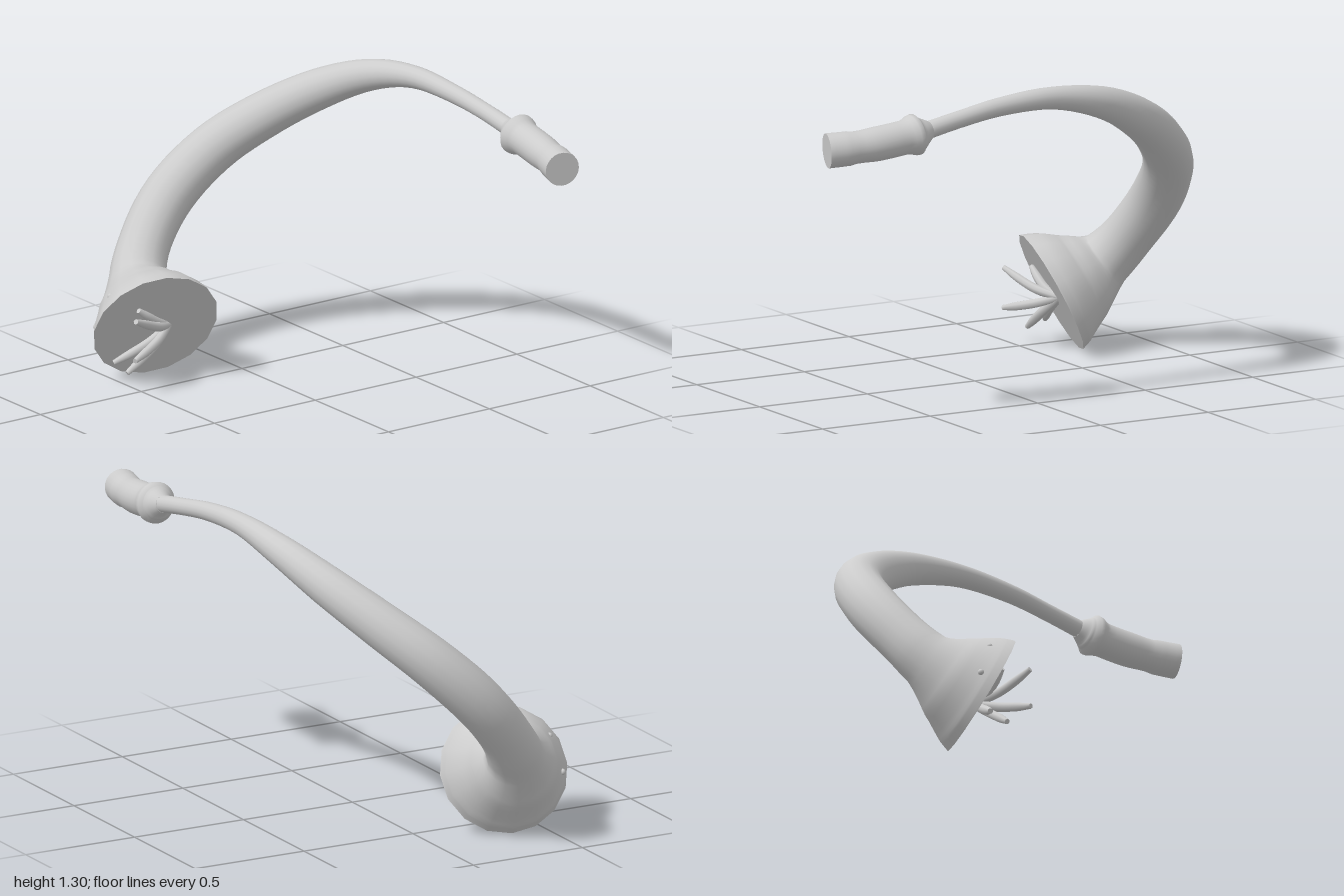
import * as THREE from 'three';

const grey = new THREE.MeshStandardMaterial({ color: 0xcccccc });
grey.name = 'light grey';

// Closed tube of varying radius through stations [x, y, z, radius]
function loft(name, stations, sides, steps, ref = new THREE.Vector3(0, 0.71, 0.71)) {
  const path = new THREE.CatmullRomCurve3(stations.map(s => new THREE.Vector3(s[0], s[1], s[2])));
  const radius = new THREE.CatmullRomCurve3(stations.map(s => new THREE.Vector3(s[3], 0, 0)));
  const rings = (stations.length - 1) * steps;
  const pos = [], index = [];
  for (let i = 0; i <= rings; i++) {
    const k = i / rings, c = path.getPoint(k), t = path.getTangent(k), r = radius.getPoint(k).x;
    const u = ref.clone().addScaledVector(t, -ref.dot(t)).normalize();
    const v = new THREE.Vector3().crossVectors(t, u);
    for (let j = 0; j < sides; j++) {
      const a = j / sides * Math.PI * 2;
      const p = c.clone().addScaledVector(u, r * Math.cos(a)).addScaledVector(v, r * Math.sin(a));
      pos.push(p.x, p.y, p.z);
    }
  }
  for (let i = 0; i < rings; i++) {
    for (let j = 0; j < sides; j++) {
      const n = (j + 1) % sides;
      const a = i * sides + j, b = i * sides + n;
      index.push(a, b, a + sides, b, b + sides, a + sides);
    }
  }
  // Flat end caps with their own vertices, so the rims stay sharp
  for (const end of [0, rings]) {
    const c = path.getPoint(end / rings), base = pos.length / 3;
    pos.push(c.x, c.y, c.z);
    for (let j = 0; j < sides; j++) {
      const o = (end * sides + j) * 3;
      pos.push(pos[o], pos[o + 1], pos[o + 2]);
    }
    for (let j = 0; j < sides; j++) {
      const a = base + 1 + j, b = base + 1 + (j + 1) % sides;
      if (end) index.push(base, a, b);
      else index.push(base, b, a);
    }
  }
  const g = new THREE.BufferGeometry();
  g.setAttribute('position', new THREE.Float32BufferAttribute(pos, 3));
  g.setIndex(index);
  g.computeVertexNormals();
  const mesh = new THREE.Mesh(g, grey);
  mesh.name = name;
  return mesh;
}

export function createModel() {
  const model = new THREE.Group();
  model.name = 'curvedTrunk';

  // Arched body, thickening toward the flared mouth
  model.add(loft('body', [
    [0.56, 1.186, -0.565, 0.036],
    [0.4, 1.215, -0.557, 0.035],
    [0.2, 1.243, -0.542, 0.038],
    [-0.05, 1.25, -0.527, 0.046],
    [-0.3, 1.2, -0.488, 0.065],
    [-0.52, 1.1, -0.4, 0.083],
    [-0.71, 0.965, -0.26, 0.095],
    [-0.84, 0.82, -0.1, 0.103],
    [-0.89, 0.65, 0.075, 0.107],
    [-0.86, 0.49, 0.215, 0.106],
    [-0.79, 0.365, 0.305, 0.118],
    [-0.7, 0.3, 0.34, 0.187],
    [-0.61, 0.253, 0.365, 0.248],
    [-0.575, 0.235, 0.375, 0.263],
  ], 16, 5));

  // Thicker sleeve on the thin end
  model.add(loft('sleeve', [
    [0.985, 1.14, -0.51, 0.071],
    [0.9, 1.145, -0.533, 0.07],
    [0.78, 1.155, -0.553, 0.07],
    [0.66, 1.17, -0.563, 0.07],
    [0.59, 1.18, -0.564, 0.07],
    [0.57, 1.184, -0.565, 0.056],
    [0.54, 1.189, -0.565, 0.036],
  ], 24, 4));

  // Tentacles fanning out of the mouth
  const root = new THREE.Vector3(-0.575, 0.225, 0.31);
  const tips = [
    [-0.46, 0.315, 0.555], [-0.46, 0.15, 0.56], [-0.555, 0.068, 0.53],
    [-0.64, 0.09, 0.535], [-0.545, 0.325, 0.48],
  ];
  const tentacles = new THREE.Group();
  tentacles.name = 'tentacles';
  for (const tip of tips) {
    const end = new THREE.Vector3(...tip);
    const at = (k, bow, r) => {
      const p = root.clone().lerp(end, k);
      return [p.x + 0.85 * bow, p.y - 0.46 * bow, p.z + 0.24 * bow, r];
    };
    tentacles.add(loft('tentacle',
      [at(0, 0, 0.016), at(0.35, 0.018, 0.019), at(0.7, 0.012, 0.018), at(1, 0, 0.011)],
      8, 4, new THREE.Vector3(1, 0.3, 0)));
  }
  model.add(tentacles);

  // Two bead eyes on the flare
  for (const p of [[-0.65, 0.37, 0.543], [-0.71, 0.23, 0.57]]) {
    const eye = new THREE.Mesh(new THREE.SphereGeometry(0.013, 12, 8), grey);
    eye.name = 'eye';
    eye.position.set(...p);
    model.add(eye);
  }
  return model;
}
